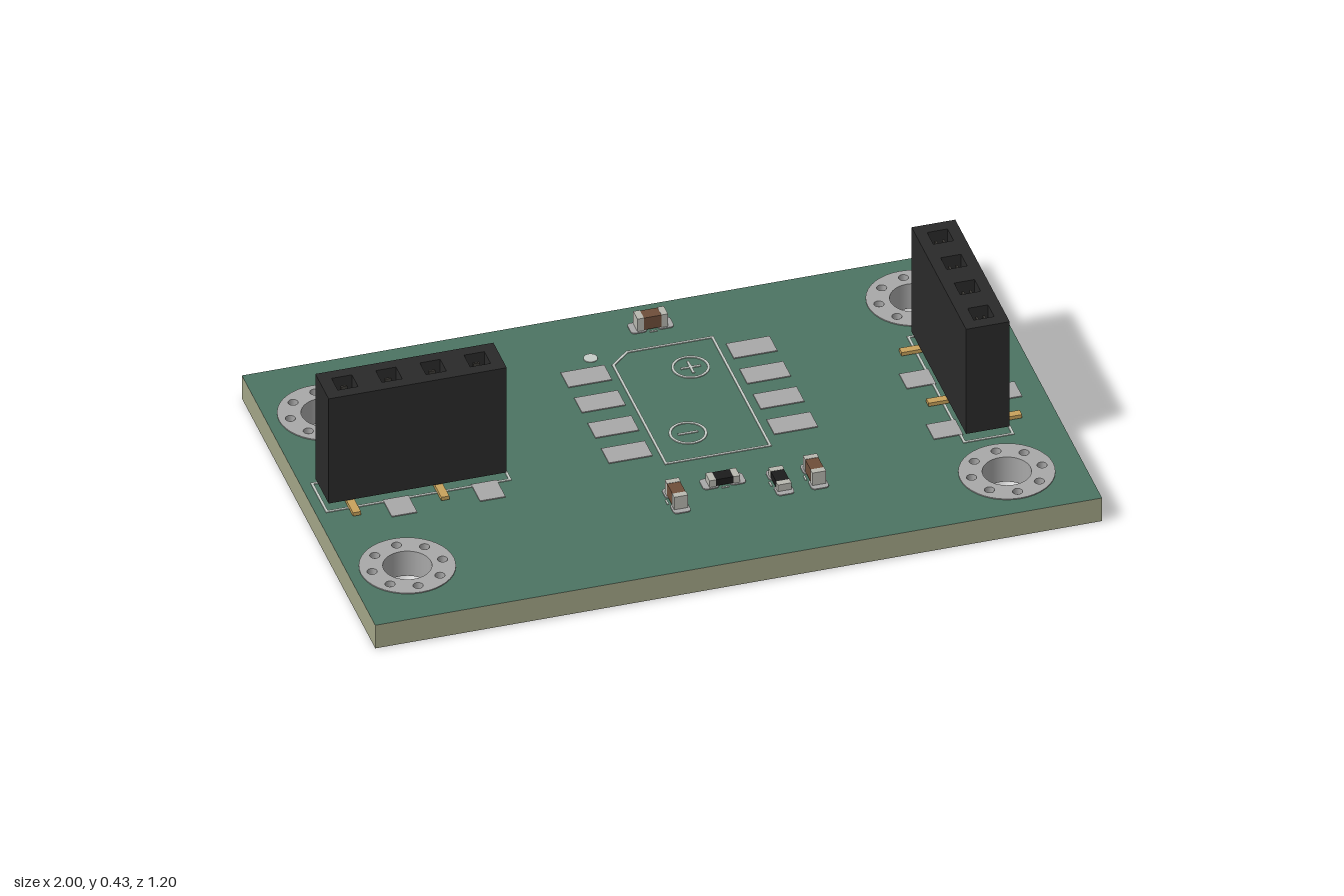
import * as THREE from 'three';

const mat = (color, opts = {}) => new THREE.MeshStandardMaterial({ color, ...opts });
const M = {
  mask: mat(0x4c7462), substrate: mat(0xa3a587),
  plate: mat(0xa8a8a8), barrel: mat(0xa8a8a8, { side: THREE.DoubleSide }),
  silk: mat(0xc4ccc6), plastic: mat(0x2a2a2a), dark: mat(0x121212), contact: mat(0x3c3a36),
  gold: mat(0xc8a25c), cap: mat(0xb8b8b0), ceramic: mat(0x6e4e3a), resistor: mat(0x1c1c1c),
};
const TOP = 0.076, BASE = 0.002, PLATE = 0.079, SILK = 0.0785;
const PITCH = 0.1215;
const HOLES = [[-0.84, -0.37], [-0.84, 0.365], [0.795, -0.42], [0.795, 0.413]];
const J1 = { x: 0.795, z: -0.002 }, J2 = { x: -0.7175, z: -0.002 };
const pinOffset = (i) => (i - 1.5) * PITCH;

function add(parent, name, geometry, material, x = 0, y = 0, z = 0) {
  const mesh = new THREE.Mesh(geometry, material);
  mesh.name = name;
  mesh.position.set(x, y, z);
  parent.add(mesh);
  return mesh;
}
const box = (parent, name, material, w, h, d, x, y, z) =>
  add(parent, name, new THREE.BoxGeometry(w, h, d), material, x, y, z);

// Flat shapes are drawn in (x, z); the slab reaches from yTop down by h.
function slab(shape, yTop, h) {
  const g = new THREE.ExtrudeGeometry(shape, { depth: h, bevelEnabled: false, curveSegments: 20 });
  return g.rotateX(Math.PI / 2).translate(0, yTop, 0);
}
const circle = (x, z, r, Type = THREE.Path) => new Type().absarc(x, z, r, 0, Math.PI * 2, false);
function rect(x, z, w, d, Type = THREE.Shape) {
  return new Type([[-1, -1], [1, -1], [1, 1], [-1, 1]].map(
    ([a, b]) => new THREE.Vector2(x + a * w / 2, z + b * d / 2)));
}
const viaPoints = ([x, z]) => Array.from({ length: 8 }, (_, i) => {
  const a = i * Math.PI / 4;
  return [x + 0.097 * Math.cos(a), z + 0.097 * Math.sin(a)];
});

// Printed line on the board, one thin strip per segment
function stroke(parent, name, points, width = 0.007) {
  for (let i = 0; i < points.length - 1; i++) {
    const [x0, z0] = points[i], [x1, z1] = points[i + 1];
    const strip = box(parent, name, M.silk, Math.hypot(x1 - x0, z1 - z0) + width, SILK - TOP, width,
      (x0 + x1) / 2, (SILK + TOP) / 2, (z0 + z1) / 2);
    strip.rotation.y = -Math.atan2(z1 - z0, x1 - x0);
  }
}
const pad = (parent, name, x, z, w, d) =>
  box(parent, name, M.plate, w, PLATE - TOP, d, x, (PLATE + TOP) / 2, z);

function makeBoard() {
  const shape = rect(0, 0, 2, 1.2);
  for (const h of HOLES) {
    shape.holes.push(circle(...h, 0.066));
    for (const v of viaPoints(h)) shape.holes.push(circle(...v, 0.0145));
  }
  // Unplated holes below the socket pins
  for (let i = 0; i < 4; i++) {
    shape.holes.push(circle(J1.x, J1.z + pinOffset(i), 0.022), circle(J2.x + pinOffset(i), J2.z, 0.022));
  }
  const mesh = new THREE.Mesh(slab(shape, TOP, TOP - BASE), [M.mask, M.substrate]);
  mesh.name = 'circuitBoard';
  return mesh;
}

// Plated mounting hole with a ring on both faces and eight small vias
function makeMountingHole(h) {
  const g = new THREE.Group();
  g.name = 'mountingHole';
  const ring = circle(...h, 0.128, THREE.Shape);
  ring.holes.push(circle(...h, 0.065));
  for (const v of viaPoints(h)) ring.holes.push(circle(...v, 0.0135));
  add(g, 'topRing', slab(ring, PLATE, PLATE - TOP), M.plate);
  add(g, 'bottomRing', slab(ring, BASE, BASE), M.plate);
  const tube = (name, [x, z], r, n) =>
    add(g, name, new THREE.CylinderGeometry(r, r, PLATE, n, 1, true), M.barrel, x, PLATE / 2, z);
  tube('holePlating', h, 0.065, 40);
  viaPoints(h).forEach((v) => tube('viaPlating', v, 0.0135, 12));
  return g;
}

// Four-way socket along local x; leads and pads alternate from side to side
function makeSocket() {
  const g = new THREE.Group();
  g.name = 'pinSocket';
  const L = 0.49, W = 0.12, y0 = 0.097, y1 = 0.433, floor = 0.385;
  box(g, 'socketBody', M.plastic, L, floor - y0, W, 0, (floor + y0) / 2, 0);
  const rim = rect(0, 0, L, W);
  for (let i = 0; i < 4; i++) rim.holes.push(rect(pinOffset(i), 0, 0.056, 0.056, THREE.Path));
  add(g, 'socketRim', slab(rim, y1, y1 - floor), M.plastic);
  for (let i = 0; i < 4; i++) {
    const x = pinOffset(i), s = i % 2 ? -1 : 1;
    box(g, 'openingFloor', M.dark, 0.056, 0.004, 0.056, x, floor + 0.002, 0);
    for (const side of [-1, 1]) {
      box(g, 'springContact', M.contact, 0.018, 0.03, 0.006, x, floor + 0.015, side * 0.01);
    }
    box(g, 'leadStem', M.gold, 0.022, 0.02, 0.03, x, 0.089, s * 0.01);
    box(g, 'leadFoot', M.gold, 0.022, 0.011, 0.11, x, 0.0845, s * 0.055);
    pad(g, 'solderPad', x, -s * 0.1, 0.07, 0.08);
  }
  const a = L / 2 + 0.007, b = W / 2 + 0.007;
  stroke(g, 'socketOutline', [[-a, -b], [a, -b], [a, b], [-a, b], [-a, -b]]);
  return g;
}

// Small two-ended chip component lying along local x
function makeChip(name, bodyMaterial, height) {
  const g = new THREE.Group();
  g.name = name;
  const y = PLATE + height / 2;
  box(g, 'chipBody', bodyMaterial, 0.048, height * 0.95, 0.036, 0, y, 0);
  for (const s of [-1, 1]) {
    box(g, 'endCap', M.cap, 0.018, height, 0.038, s * 0.033, y, 0);
    const p = new THREE.Shape();
    const w = 0.044, d = 0.048, r = 0.011, x = s * 0.037 - w / 2, z = -d / 2;
    p.absarc(x + r, z + r, r, Math.PI, Math.PI * 1.5);
    p.absarc(x + w - r, z + r, r, Math.PI * 1.5, Math.PI * 2);
    p.absarc(x + w - r, z + d - r, r, 0, Math.PI / 2);
    p.absarc(x + r, z + d - r, r, Math.PI / 2, Math.PI);
    add(g, 'chipPad', slab(p, PLATE, PLATE - TOP), M.plate);
    stroke(g, 'chipMark', [[-0.008, s * 0.026], [0.008, s * 0.026]], 0.005);
  }
  return g;
}

// Empty eight-pad sensor position with its printed markings
function makeSensorFootprint() {
  const g = new THREE.Group();
  g.name = 'sensorFootprint';
  for (const x of [-0.135, 0.32]) {
    for (let i = 0; i < 4; i++) pad(g, 'sensorPad', x, -0.329 + i * PITCH, 0.12, 0.07);
  }
  stroke(g, 'sensorOutline',
    [[0, -0.405], [0.235, -0.405], [0.235, 0.115], [-0.052, 0.115], [-0.052, -0.357], [0, -0.405]]);
  for (const [x, z, plus] of [[0.14, -0.29, true], [0.045, -0.003, false]]) {
    const ring = circle(x, z, 0.051, THREE.Shape);
    ring.holes.push(circle(x, z, 0.044));
    add(g, 'portRing', slab(ring, SILK, SILK - TOP), M.silk);
    stroke(g, 'polarityBar', [[x - 0.024, z], [x + 0.024, z]]);
    if (plus) stroke(g, 'polarityBar', [[x, z - 0.024], [x, z + 0.024]]);
  }
  add(g, 'firstPadDot', slab(circle(-0.1, -0.406, 0.019, THREE.Shape), SILK, SILK - TOP), M.silk);
  return g;
}

export function createModel() {
  const model = new THREE.Group();
  model.name = 'sensorBoard';
  model.add(makeBoard(), makeSensorFootprint(), ...HOLES.map(makeMountingHole));

  const leftSocket = makeSocket();
  leftSocket.position.set(J1.x, 0, J1.z);
  leftSocket.rotation.y = -Math.PI / 2;
  const rightSocket = makeSocket();
  rightSocket.position.set(J2.x, 0, J2.z);
  model.add(leftSocket, rightSocket);

  const chips = [
    ['capacitor', 0.095, -0.503, false], ['capacitor', -0.075, 0.285, true],
    ['resistor', 0.067, 0.237, false], ['resistor', 0.21, 0.285, true],
    ['capacitor', 0.305, 0.285, true],
  ];
  for (const [name, x, z, turned] of chips) {
    const isCap = name === 'capacitor';
    const chip = makeChip(name, isCap ? M.ceramic : M.resistor, isCap ? 0.04 : 0.021);
    chip.position.set(x, 0, z);
    if (turned) chip.rotation.y = Math.PI / 2;
    model.add(chip);
  }
  return model;
}
